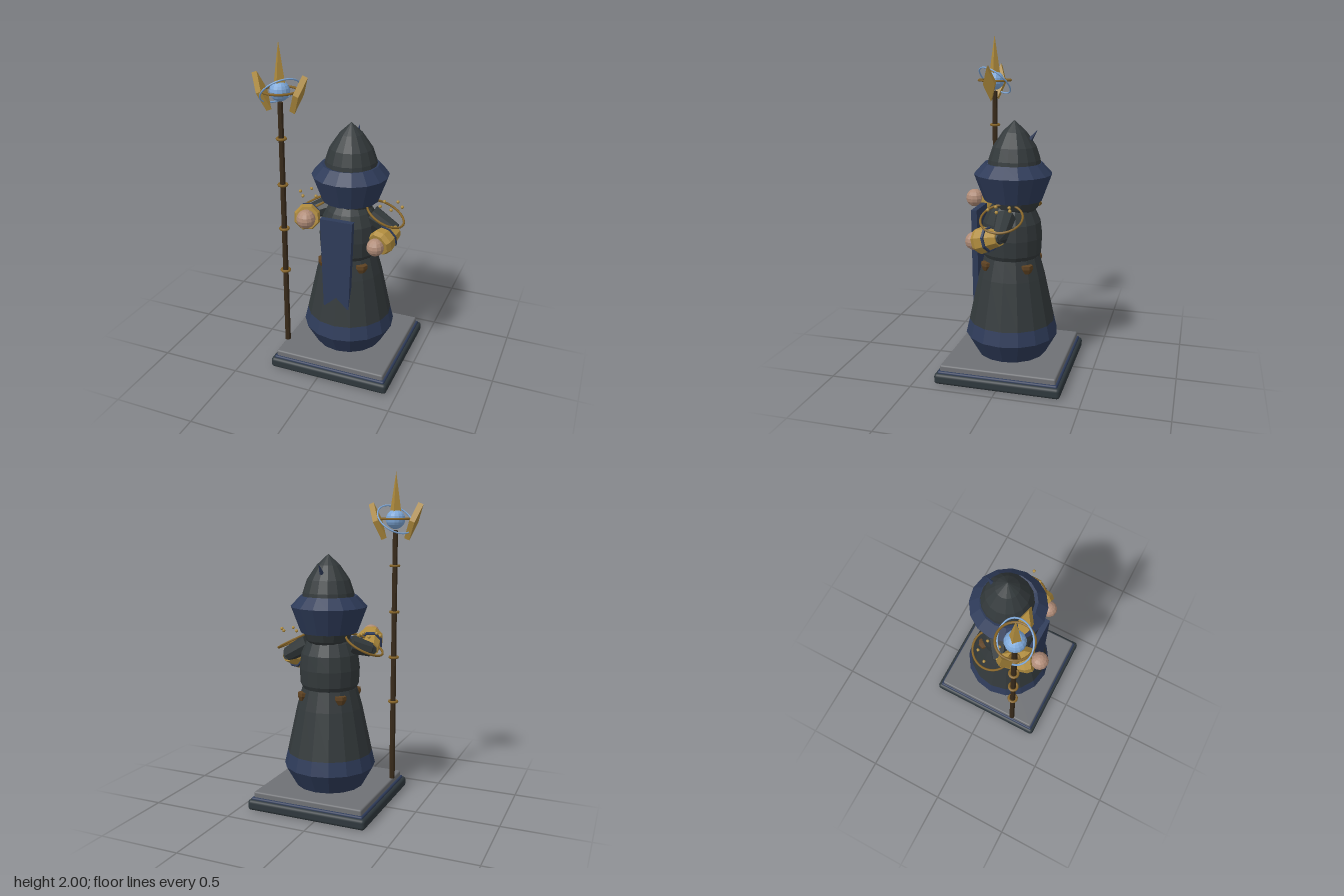
import * as THREE from 'three';
import { RoundedBoxGeometry } from 'three/addons/geometries/RoundedBoxGeometry.js';

const mat = (name, color) => {
  const m = new THREE.MeshStandardMaterial({ color });
  m.name = name;
  return m;
};
const V = (x, y, z) => new THREE.Vector3(x, y, z);
const UP = V(0, 1, 0);
const CX = 0.0625; // centre line of the figure and plinth

// Facet a geometry by giving every triangle its own normal
function flat(geo) {
  const g = geo.index ? geo.toNonIndexed() : geo;
  g.computeVertexNormals();
  return g;
}
const lathe = (pts, sides) =>
  flat(new THREE.LatheGeometry(pts.map(([r, y]) => new THREE.Vector2(r, y)), sides));

export function createModel() {
  const cloth = mat('dark cloth', 0x33393b);
  const navy = mat('navy cloth', 0x2e3b59);
  const gold = mat('gold', 0xb08c3e);
  const bronze = mat('bronze', 0x876528);
  const leather = mat('brown leather', 0x5e4222);
  const wood = mat('dark wood', 0x382a1a);
  const skin = mat('skin', 0xb08c78);
  const crystal = mat('blue crystal', 0x7fa9da);
  const stone = mat('grey stone', 0x6f7175);
  const rim = mat('dark stone', 0x2f383d);

  const model = new THREE.Group();
  model.name = 'robedMage';
  function add(name, geo, material, pos = [0, 0, 0], parent = model) {
    const m = new THREE.Mesh(geo, material);
    m.name = name;
    m.position.set(...pos);
    parent.add(m);
    return m;
  }

  // Plinth: dark foot, navy step, grey top
  add('plinthFoot', new RoundedBoxGeometry(0.755, 0.065, 0.755, 3, 0.02), rim, [CX, 0.0325, 0]);
  add('plinthStep', new RoundedBoxGeometry(0.72, 0.05, 0.72, 2, 0.01), navy, [CX, 0.052, 0]);
  add('plinthTop', new RoundedBoxGeometry(0.695, 0.05, 0.695, 2, 0.01), stone, [CX, 0.086, 0]);

  // Robe and torso
  add('robeHem', lathe([[0, 0.11], [0.21, 0.11], [0.28, 0.235], [0.26, 0.32]], 16), navy, [CX, 0, 0]);
  add('robeSkirt', lathe([[0.26, 0.32], [0.2, 0.6], [0.167, 0.72], [0, 0.73]], 16), cloth, [CX, 0, 0]);
  add('torso', lathe([[0, 0.71], [0.163, 0.715], [0.178, 0.745], [0.183, 0.84], [0.172, 0.93],
    [0.14, 1.0], [0.1, 1.05], [0, 1.06]], 16), cloth, [CX, 0, 0]);
  add('hood', flat(new THREE.SphereGeometry(0.15, 14, 9)), cloth, [CX, 1.09, -0.025]);

  // Tapered tabard, its lower end sinking into the skirt
  const panel = new THREE.Shape([[-0.08, 0.43], [0.08, 0.43], [0.1, 1.0], [-0.1, 1.0]]
    .map(([x, y]) => new THREE.Vector2(x, y)));
  add('tabard', new THREE.ExtrudeGeometry(panel, { depth: 0.035, bevelEnabled: false }), navy, [CX, 0, 0.187]);

  // Four belt pouches on the diagonals
  for (let i = 0; i < 4; i++) {
    const a = Math.PI / 4 + i * Math.PI / 2;
    const pouch = add('beltPouch', lathe([[0, -0.04], [0.022, -0.028], [0.038, 0], [0.036, 0.02], [0, 0.022]], 6),
      leather, [CX + 0.178 * Math.sin(a), 0.677, 0.178 * Math.cos(a)]);
    pouch.rotation.y = a;
    pouch.scale.z = 0.75;
  }

  // Hat: wide flared brim, domed point and a small thorn at the back
  add('hatBrim', lathe([[0, 1.1], [0.13, 1.09], [0.172, 1.06], [0.23, 1.215], [0.17, 1.28], [0.15, 1.275]], 16),
    navy, [CX, 0, -0.008]);
  add('hatCrown', lathe([[0.158, 1.26], [0.153, 1.3], [0.128, 1.375], [0.07, 1.46], [0, 1.525]], 16),
    cloth, [CX, 0, -0.016]);
  const thorn = add('hatThorn', flat(new THREE.ConeGeometry(0.018, 0.1, 6)), navy, [CX, 1.435, -0.125]);
  thorn.quaternion.setFromUnitVectors(UP, V(0, 0.8, -0.6).normalize());

  // Arms: sleeve, banded gauntlet and hand
  function arm(side, shoulder, elbow, wrist, hand, handR) {
    const g = new THREE.Group();
    g.name = side + 'Arm';
    model.add(g);
    const span = (name, from, to, pts, sides, material) => {
      const len = from.distanceTo(to);
      const m = add(name, lathe(pts.map(([r, t]) => [r, t * len]), sides), material, from.toArray(), g);
      m.quaternion.setFromUnitVectors(UP, to.clone().sub(from).normalize());
    };
    span('sleeve', shoulder, elbow, [[0, 0], [0.06, 0], [0.045, 1], [0, 1.15]], 8, cloth);
    span('gauntlet', elbow, wrist, [[0, 0], [0.046, 0], [0.062, 0.42], [0.07, 0.52],
      [0.08, 0.82], [0.068, 1], [0, 1]], 8, gold);
    span('gauntletStrap', elbow, wrist, [[0.05, 0.42], [0.071, 0.42], [0.075, 0.5], [0.05, 0.5]], 8, navy);
    span('elbowCap', elbow, wrist, [[0, -0.06], [0.034, -0.06], [0.038, 0.02]], 8, cloth);
    add('hand', flat(new THREE.SphereGeometry(handR, 12, 8)), skin, hand, g);
  }
  arm('right', V(-0.08, 0.99, 0), V(-0.18, 0.955, 0.06), V(-0.108, 1.005, 0.245), [-0.097, 1.015, 0.282], 0.055);
  arm('left', V(0.2, 0.98, 0), V(0.345, 0.897, -0.005), V(0.292, 0.857, 0.138), [0.284, 0.852, 0.165], 0.052);

  // Shoulder hoops with five floating beads each
  for (const s of [-1, 1]) {
    const hoop = add('shoulderHoop', new THREE.TorusGeometry(0.121, 0.007, 6, 32), bronze, [CX + s * 0.225, 0.995, 0]);
    hoop.rotation.set(Math.PI / 2, s * 0.48, 0, 'ZXY');
    hoop.quaternion.setFromUnitVectors(V(0, 0, 1), V(s * 0.46, 0.89, 0).normalize());
    for (let i = 0; i < 5; i++) {
      const a = i * Math.PI * 2 / 5;
      add('floatingBead', new THREE.SphereGeometry(0.01, 8, 6), gold,
        [CX + s * (0.258 + 0.067 * Math.cos(a)), 1.055, 0.067 * Math.sin(a)]);
    }
  }

  // Staff with collars and a crowned crystal
  const staff = new THREE.Group();
  staff.name = 'staff';
  staff.position.set(-0.277, 0, 0.202);
  model.add(staff);
  add('staffShaft', flat(new THREE.CylinderGeometry(0.016, 0.018, 1.55, 8)), wood, [0, 0.885, 0], staff);
  for (const y of [0.61, 0.89, 1.17, 1.45]) {
    add('staffCollar', new THREE.TorusGeometry(0.025, 0.008, 6, 14), bronze, [0, y, 0], staff).rotation.x = Math.PI / 2;
  }
  add('crystalOrb', flat(new THREE.SphereGeometry(0.058, 14, 10)), crystal, [0, 1.725, 0], staff);
  add('levelRing', new THREE.TorusGeometry(0.1, 0.007, 6, 32), bronze, [0, 1.727, 0], staff).rotation.x = Math.PI / 2;
  const tilted = add('tiltedRing', new THREE.TorusGeometry(0.116, 0.005, 6, 36), crystal, [0, 1.725, 0], staff);
  tilted.quaternion.setFromUnitVectors(V(0, 0, 1), V(-0.56, 0.71, -0.42).normalize());
  add('crownSpike', flat(new THREE.ConeGeometry(0.036, 0.24, 4)), gold, [0, 1.88, 0], staff);

  // Diamond plates leaning outwards on either side of the crystal
  const diamond = new THREE.Shape([[0, -0.113], [0.038, 0], [0, 0.113], [-0.038, 0]]
    .map(([x, y]) => new THREE.Vector2(x, y)));
  const plate = new THREE.ExtrudeGeometry(diamond, { depth: 0.034, bevelEnabled: false });
  plate.translate(0, 0, -0.017).rotateY(Math.PI / 2);
  for (const s of [-1, 1]) {
    add('crownProng', plate, gold, [s * 0.113, 1.713, 0], staff).rotation.z = -s * 0.38;
  }

  return model;
}
